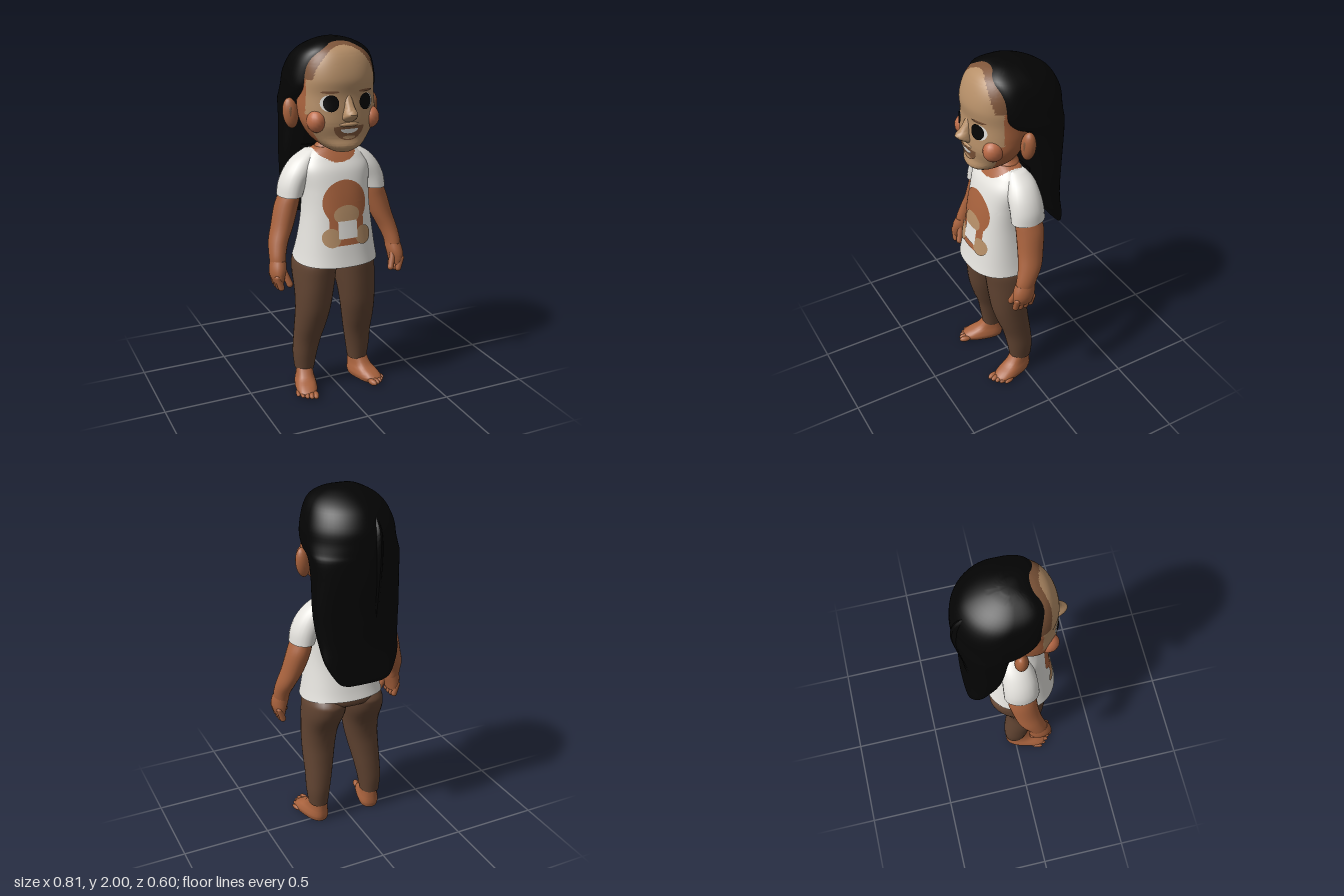
import * as THREE from 'three';
import { toCreasedNormals } from 'three/addons/utils/BufferGeometryUtils.js';

const mat = (name, color) => Object.assign(new THREE.MeshStandardMaterial({ color }), { name });
const clamp01 = v => Math.min(Math.max(v, 0), 1);

// Smooth a list of cross-sections [y, centreX, halfWidth, frontZ, backZ], bottom to top
function smooth(rows, k = 4) {
  const out = [], at = i => rows[Math.min(Math.max(i, 0), rows.length - 1)];
  for (let i = 0; i < rows.length - 1; i++) {
    for (let s = 0; s < k; s++) {
      const t = s / k, t2 = t * t, t3 = t2 * t;
      out.push(rows[i].map((b, c) => {
        const a = at(i - 1)[c], d = at(i + 1)[c], e = at(i + 2)[c];
        return 0.5 * (2 * b + (d - a) * t + (2 * a - 5 * b + 4 * d - e) * t2 + (3 * b - a - 3 * d + e) * t3);
      }));
    }
  }
  out.push(rows[rows.length - 1]);
  return out;
}

// Closed body through horizontal rounded rings; n and nb set how square the front and back are
function loft(rows, segs = 28, n = 2, nb = n) {
  const pos = [], idx = [];
  for (const [y, cx, rx, zf, zb] of rows) {
    for (let j = 0; j < segs; j++) {
      const a = (j / segs) * Math.PI * 2, e = 2 / (Math.sin(a) >= 0 ? n : nb);
      const pw = v => Math.sign(v) * Math.abs(v) ** e;
      pos.push(cx + rx * pw(Math.cos(a)), y, (zf + zb) / 2 + (zf - zb) / 2 * pw(Math.sin(a)));
    }
  }
  for (let i = 0; i < rows.length - 1; i++) {
    for (let j = 0; j < segs; j++) {
      const k = (j + 1) % segs, a = i * segs + j, b = i * segs + k;
      idx.push(a, a + segs, b, b, a + segs, b + segs);
    }
  }
  const last = (rows.length - 1) * segs, c = rows.length * segs;
  for (const r of [rows[0], rows[rows.length - 1]]) pos.push(r[1], r[0], (r[3] + r[4]) / 2);
  for (let j = 0; j < segs; j++) {
    const k = (j + 1) % segs;
    idx.push(c, j, k, c + 1, last + k, last + j);
  }
  const g = new THREE.BufferGeometry();
  g.setAttribute('position', new THREE.Float32BufferAttribute(pos, 3));
  g.setIndex(idx);
  return toCreasedNormals(g, 0.6);
}

// Sort triangles into material groups by a rule on their centres
function paint(g, rule) {
  const p = g.attributes.position, sets = [[], [], []];
  for (let i = 0; i < p.count; i += 3) {
    const mid = f => (p[f](i) + p[f](i + 1) + p[f](i + 2)) / 3;
    sets[rule(mid('getX'), mid('getY'), mid('getZ'))].push(i, i + 1, i + 2);
  }
  g.setIndex(sets.flat());
  let start = 0;
  sets.forEach((s, m) => {
    if (s.length) g.addGroup(start, s.length, m);
    start += s.length;
  });
  return g;
}

// Front surface height of a loft at x, y
function frontZ(rows, n, x, y) {
  let i = 0;
  while (i < rows.length - 2 && rows[i + 1][0] < y) i++;
  const a = rows[i], b = rows[i + 1], t = clamp01((y - a[0]) / (b[0] - a[0]));
  const [, cx, rx, zf, zb] = a.map((v, c) => v + (b[c] - v) * t);
  const u = Math.min(Math.abs((x - cx) / rx), 1);
  return (zf + zb) / 2 + (zf - zb) / 2 * (1 - u ** n) ** (1 / n);
}

export function createModel() {
  const root = new THREE.Group();
  root.name = 'girl';
  const skin = mat('skin', 0xa8623d), tan = mat('face tan', 0xb68f68), white = mat('shirt white', 0xe4e2dd);
  const pants = mat('trouser brown', 0x604331), black = mat('hair black', 0x040404);
  const brown = mat('shade brown', 0x7e5539), blush = mat('cheek blush', 0xbd6c48);

  const add = (name, geo, m, parent = root) => {
    const o = new THREE.Mesh(geo, m);
    o.name = name;
    parent.add(o);
    return o;
  };
  const ball = (name, m, p, s) => {
    const o = add(name, new THREE.SphereGeometry(1, 18, 12), m);
    o.position.set(...p);
    o.scale.set(...s);
    return o;
  };
  const disc = () => new THREE.RingGeometry(0, 1, 32, 7);
  const half = () => new THREE.RingGeometry(0, 1, 24, 6, Math.PI, Math.PI);
  const square = () => new THREE.PlaneGeometry(2, 2, 8, 8);
  // Thin painted patch wrapped onto the front of a loft
  const decal = (name, m, geo, rows, n, [x, y, sx, sy], lift) => {
    geo.scale(sx, sy, 1).translate(x, y, 0);
    const p = geo.attributes.position;
    for (let i = 0; i < p.count; i++) p.setZ(i, frontZ(rows, n, p.getX(i), p.getY(i)) + lift);
    geo.computeVertexNormals();
    add(name, geo, m);
  };

  // Head with tan face and darker hairline, and neck
  const head = smooth([
    [1.42, 0, 0.055, 0.205, 0.08], [1.45, 0, 0.108, 0.238, 0.03], [1.5, 0, 0.162, 0.23, -0.02],
    [1.57, 0, 0.202, 0.24, -0.06], [1.64, 0, 0.21, 0.238, -0.1], [1.72, 0, 0.205, 0.233, -0.1],
    [1.8, 0, 0.202, 0.24, -0.1], [1.88, 0, 0.19, 0.22, -0.1], [1.94, 0, 0.155, 0.185, -0.08],
    [1.975, 0, 0.1, 0.132, -0.04], [1.988, 0, 0.05, 0.085, 0]], 8);
  const headN = 2.15;
  add('head', paint(loft(head, 96, headN), (x, y, z) => {
    if (z < 0.08) return 0;
    if (y < 1.62) return z > 0.155 ? 1 : 0;
    if (y < 1.8) return z > 0.125 ? 1 : 0;
    return (x / 0.188) ** 2 + ((y - 1.7) / 0.268) ** 2 < 1 ? 1 : 2;
  }), [skin, tan, brown]);
  add('neck', loft(smooth([[1.37, 0, 0.11, 0.09, -0.06], [1.42, 0, 0.1, 0.088, -0.055],
    [1.45, 0, 0.078, 0.08, -0.045], [1.55, 0, 0.072, 0.08, -0.045]])), skin);
  const onFace = (name, m, geo, box, lift) => decal(name, m, geo, head, headN, box, lift);
  onFace('mouth', brown, half(), [0, 1.563, 0.085, 0.075], 0.004);
  onFace('teeth', white, half(), [0, 1.55, 0.05, 0.024], 0.007);
  onFace('lowerLip', tan, disc(), [0, 1.505, 0.036, 0.009], 0.007);
  add('nose', loft(smooth([[1.585, 0, 0.026, 0.243, 0.2], [1.605, 0, 0.04, 0.274, 0.2],
    [1.63, 0, 0.037, 0.3, 0.2], [1.66, 0, 0.028, 0.272, 0.2], [1.695, 0, 0.022, 0.248, 0.2],
    [1.725, 0, 0.014, 0.232, 0.2]]), 20), tan);
  ball('upperLip', tan, [0, 1.572, 0.228], [0.06, 0.014, 0.022]);

  // Hair: long cap, back lock and inner strands
  add('hair', loft(smooth([
    [0.975, 0, 0.1, -0.255, -0.27], [1, 0, 0.155, -0.238, -0.272], [1.1, 0, 0.212, -0.175, -0.262],
    [1.2, 0, 0.228, -0.11, -0.258], [1.3, 0, 0.238, -0.065, -0.263], [1.4, 0, 0.243, -0.045, -0.27],
    [1.55, 0, 0.24, -0.02, -0.288], [1.66, 0, 0.246, 0.01, -0.293], [1.7, 0, 0.25, 0.085, -0.293],
    [1.75, 0, 0.247, 0.138, -0.29], [1.82, 0, 0.238, 0.148, -0.28], [1.9, 0, 0.208, 0.155, -0.235],
    [1.95, 0, 0.165, 0.148, -0.172], [1.985, 0, 0.1, 0.1, -0.095], [2, 0, 0.04, 0.04, -0.035]]), 56, 3.6, 1.85), black);
  add('backLock', loft(smooth([[1.3, -0.06, 0.01, -0.22, -0.255], [1.5, -0.06, 0.022, -0.22, -0.283],
    [1.7, -0.06, 0.026, -0.22, -0.303], [1.82, -0.06, 0.024, -0.2, -0.285], [1.9, -0.06, 0.01, -0.17, -0.22]]), 12), black);
  add('innerHair', loft([[1.03, 0, 0.1, -0.05, -0.108], [1.2, 0, 0.14, -0.04, -0.105],
    [1.42, 0, 0.16, -0.03, -0.11]], 20, 4), black);

  // Shirt body with collar opening, raised back hem and front print
  const shirt = smooth([
    [0.79, 0, 0.234, 0.262, -0.155], [0.86, 0, 0.221, 0.248, -0.132], [1, 0, 0.2, 0.225, -0.095],
    [1.1, 0, 0.19, 0.21, -0.085], [1.2, 0, 0.19, 0.19, -0.08], [1.3, 0, 0.198, 0.162, -0.08],
    [1.36, 0, 0.172, 0.128, -0.07], [1.4, 0, 0.135, 0.1, -0.06], [1.42, 0, 0.1, 0.085, -0.05]], 8);
  const shirtGeo = loft(shirt, 72, 2.3), sp = shirtGeo.attributes.position;
  for (let i = 0; i < sp.count; i++) {
    const y = sp.getY(i);
    sp.setY(i, y + 0.03 * clamp01((0.05 - sp.getZ(i)) / 0.19) * clamp01((0.9 - y) / 0.11));
  }
  add('shirt', paint(shirtGeo, (x, y, z) =>
    z > -0.03 && (x / 0.12) ** 2 + ((y - 1.425) / 0.078) ** 2 < 1 ? 1 : 0), [white, skin]);
  const onShirt = (name, m, geo, box, lift) => decal(name, m, geo, shirt, 2.3, box, lift);
  onShirt('printTop', skin, disc(), [0, 1.135, 0.127, 0.125], 0.003);
  onShirt('printBody', skin, square(), [0, 1.0, 0.1, 0.09], 0.004);
  onShirt('printBand', tan, disc(), [0, 1.075, 0.075, 0.052], 0.006);
  onShirt('printPatch', white, square(), [0, 0.995, 0.055, 0.048], 0.008);

  // Trouser seat
  add('trouserSeat', loft(smooth([[0.755, 0, 0.06, 0.12, -0.08], [0.775, 0, 0.18, 0.17, -0.128],
    [0.8, 0, 0.215, 0.195, -0.136], [0.825, 0, 0.21, 0.195, -0.128], [0.85, 0, 0.18, 0.18, -0.09]]), 32, 2.4), pants);

  // Everything that comes in pairs
  for (const s of [1, -1]) {
    const side = s > 0 ? 'left' : 'right';
    const pair = (name, rows, m, segs = 22, n = 2) =>
      add(side + name, loft(smooth(rows.map(([y, x, ...r]) => [y, x * s, ...r])), segs, n), m);
    const stick = (name, r, from, to) => {
      const a = new THREE.Vector3(from[0] * s, from[1], from[2]), b = new THREE.Vector3(to[0] * s, to[1], to[2]);
      const o = add(side + name, new THREE.CapsuleGeometry(r, a.distanceTo(b), 4, 10), skin);
      o.position.copy(a).lerp(b, 0.5);
      o.quaternion.setFromUnitVectors(new THREE.Vector3(0, 1, 0), b.sub(a).normalize());
    };

    // Face details
    ball(side + 'Cheek', blush, [0.154 * s, 1.588, 0.164], [0.05, 0.06, 0.058]);
    onFace(side + 'EyeWhite', white, disc(), [0.106 * s, 1.685, 0.042, 0.042], 0.005);
    onFace(side + 'Pupil', black, disc(), [0.097 * s, 1.685, 0.039, 0.043], 0.008);
    onFace(side + 'Brow', brown, disc(), [0.1 * s, 1.742, 0.045, 0.007], 0.005);
    const ear = ball(side + 'Ear', skin, [0.235 * s, 1.61, 0.01], [0.042, 0.082, 0.036]);
    ear.rotation.set(0, 0.35 * s, -0.12 * s);
    ball(side + 'EarHollow', brown, [0.245 * s, 1.615, 0.034], [0.016, 0.04, 0.01]).rotation.y = 0.35 * s;

    onShirt(side + 'PrintPaw', tan, disc(), [0.092 * s, 0.955, 0.05, 0.052], 0.007);

    // Sleeve, arm and hand
    pair('Sleeve', [[1.165, 0.25, 0.067, 0.11, -0.083], [1.23, 0.232, 0.076, 0.107, -0.083],
      [1.3, 0.195, 0.082, 0.1, -0.08], [1.36, 0.155, 0.07, 0.078, -0.07], [1.405, 0.105, 0.045, 0.05, -0.05]], white);
    pair('Arm', [[0.8, 0.352, 0.042, 0.145, 0.035], [0.85, 0.35, 0.045, 0.135, 0.018], [0.92, 0.333, 0.053, 0.115, -0.02],
      [1, 0.302, 0.061, 0.1, -0.045], [1.1, 0.272, 0.065, 0.092, -0.065], [1.16, 0.254, 0.059, 0.09, -0.062],
      [1.22, 0.235, 0.05, 0.08, -0.055]], skin);
    pair('Palm', [[0.71, 0.36, 0.028, 0.16, 0.045], [0.75, 0.362, 0.04, 0.167, 0.037],
      [0.79, 0.357, 0.045, 0.16, 0.034], [0.83, 0.351, 0.042, 0.142, 0.03]], skin, 18);
    for (let i = 0; i < 4; i++) {
      const z = 0.055 + i * 0.031;
      stick('Finger' + (i + 1), 0.018, [0.376, 0.745, z], [0.358, 0.678 + Math.abs(i - 1.5) * 0.006, z + 0.002]);
    }
    stick('Thumb', 0.018, [0.335, 0.775, 0.125], [0.309, 0.7, 0.15]);

    // Trouser leg
    pair('TrouserLeg', [[0.11, 0.17, 0.055, 0.07, -0.058], [0.2, 0.168, 0.067, 0.085, -0.065],
      [0.3, 0.158, 0.077, 0.105, -0.058], [0.4, 0.148, 0.088, 0.14, -0.046], [0.5, 0.138, 0.097, 0.168, -0.04],
      [0.6, 0.13, 0.105, 0.182, -0.06], [0.7, 0.121, 0.114, 0.192, -0.118], [0.76, 0.116, 0.115, 0.198, -0.137],
      [0.79, 0.113, 0.109, 0.196, -0.134], [0.83, 0.108, 0.095, 0.18, -0.1]], pants, 26, 2.2);

    // Foot with toes, turned slightly outward
    const foot = new THREE.Group();
    foot.name = side + 'Foot';
    foot.position.x = 0.168 * s;
    foot.rotation.y = 0.27 * s;
    root.add(foot);
    add(side + 'FootBody', loft(smooth([[0, 0, 0.056, 0.19, -0.048], [0.025, 0, 0.063, 0.2, -0.054],
      [0.05, 0, 0.058, 0.165, -0.054], [0.08, 0, 0.05, 0.105, -0.052], [0.14, 0, 0.046, 0.058, -0.05]]), 22, 2.6), skin, foot);
    for (let i = 0; i < 5; i++) {
      const toe = add(side + 'Toe' + (i + 1), new THREE.SphereGeometry(1, 12, 8), skin, foot);
      const r = 0.018 - i * 0.0012;
      toe.position.set((-0.042 + i * 0.024) * s, r, 0.196 - i * i * 0.0028);
      toe.scale.set(r, r, 0.036);
    }
  }
  return root;
}
